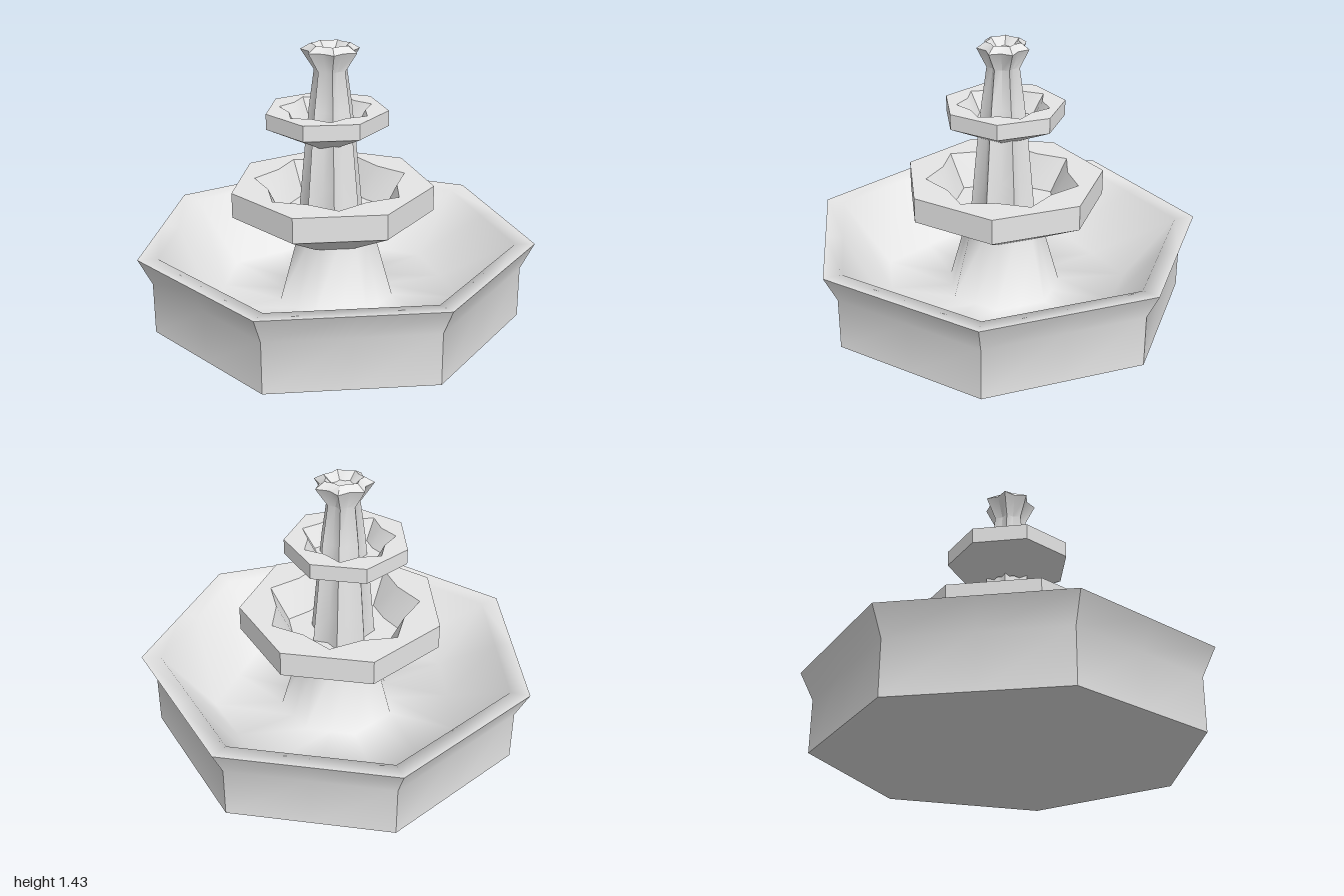
import * as THREE from 'three';
import { toCreasedNormals } from 'three/addons/utils/BufferGeometryUtils.js';

const SIDES = 7;
const N = SIDES * 2;
const APOTHEM = Math.cos(Math.PI / SIDES);

// Cross-sections: radii at the corner directions and at the directions between them
const hept = (y, r) => ({ y, even: r, odd: r * APOTHEM, depth: 1 });
const star = (y, tip, valley, depth = 1) => ({ y, even: valley, odd: tip, depth });

// Joins the cross-sections from bottom to top (and inward) into one surface
function loft(rows, smooth = false) {
  const pos = [];
  const index = [];
  for (const { y, even, odd, depth } of rows) {
    for (let k = 0; k < N; k++) {
      const r = k % 2 ? odd : even;
      const a = (k * Math.PI) / SIDES;
      pos.push(r * Math.cos(a), y, r * Math.sin(a) * depth);
    }
  }
  for (let i = 0; i < rows.length - 1; i++) {
    for (let k = 0; k < N; k++) {
      const a = i * N + k;
      const b = i * N + ((k + 1) % N);
      if (rows[i + 1].even > 0) index.push(b, a + N, b + N);
      if (rows[i].even > 0) index.push(a, a + N, b);
      else index.push(a, a + N, b + N);
    }
  }
  const geo = new THREE.BufferGeometry();
  geo.setAttribute('position', new THREE.Float32BufferAttribute(pos, 3));
  geo.setIndex(index);
  geo.computeVertexNormals();
  return smooth ? geo : toCreasedNormals(geo, Math.PI / 4);
}

export function createModel() {
  const group = new THREE.Group();
  const stone = new THREE.MeshStandardMaterial({ color: 0xe6e6e6 });
  stone.name = 'stone';

  const add = (name, x, rows, smooth) => {
    const mesh = new THREE.Mesh(loft(rows, smooth), stone);
    mesh.name = name;
    mesh.position.x = x;
    group.add(mesh);
  };

  // Large basin: outer wall with flared rim, and closed underside
  add('basinWall', -0.05, [
    hept(0, 0), hept(0, 0.84), hept(0.012, 0.957), hept(0.28, 0.957), hept(0.42, 1.0257),
  ]);

  // Soft bowl rising into the pedestal
  add('basinBowl', -0.05, [
    hept(0.42, 1.0257), hept(0.412, 0.925), hept(0.09, 0.66),
    hept(0.09, 0.3), hept(0.43, 0.205),
  ], true);

  // Middle dish with a star-shaped hollow
  add('middleDish', -0.068, [
    hept(0.42, 0.22), hept(0.58, 0.523), hept(0.71, 0.523),
    star(0.71, 0.4, 0.335), star(0.54, 0.3, 0.255), star(0.54, 0, 0),
  ]);

  // Lower fluted column
  add('lowerColumn', -0.069, [
    star(0.53, 0.17, 0.127), star(0.71, 0.153, 0.114), star(0.97, 0.128, 0.096),
  ]);

  // Upper dish with a star-shaped hollow
  add('upperDish', -0.092, [
    hept(0.92, 0.1), hept(1.02, 0.313), hept(1.1, 0.313),
    star(1.1, 0.24, 0.195), star(1.0, 0.175, 0.145), star(1.0, 0, 0),
  ]);

  // Upper fluted column with flared, hollow crown
  add('upperColumn', -0.069, [
    star(0.99, 0.123, 0.092), star(1.1, 0.113, 0.084), star(1.3, 0.085, 0.064),
    star(1.4, 0.152, 0.115, 0.88), star(1.43, 0.102, 0.083, 0.88),
    star(1.39, 0.06, 0.048, 0.88), star(1.39, 0, 0),
  ]);

  return group;
}
